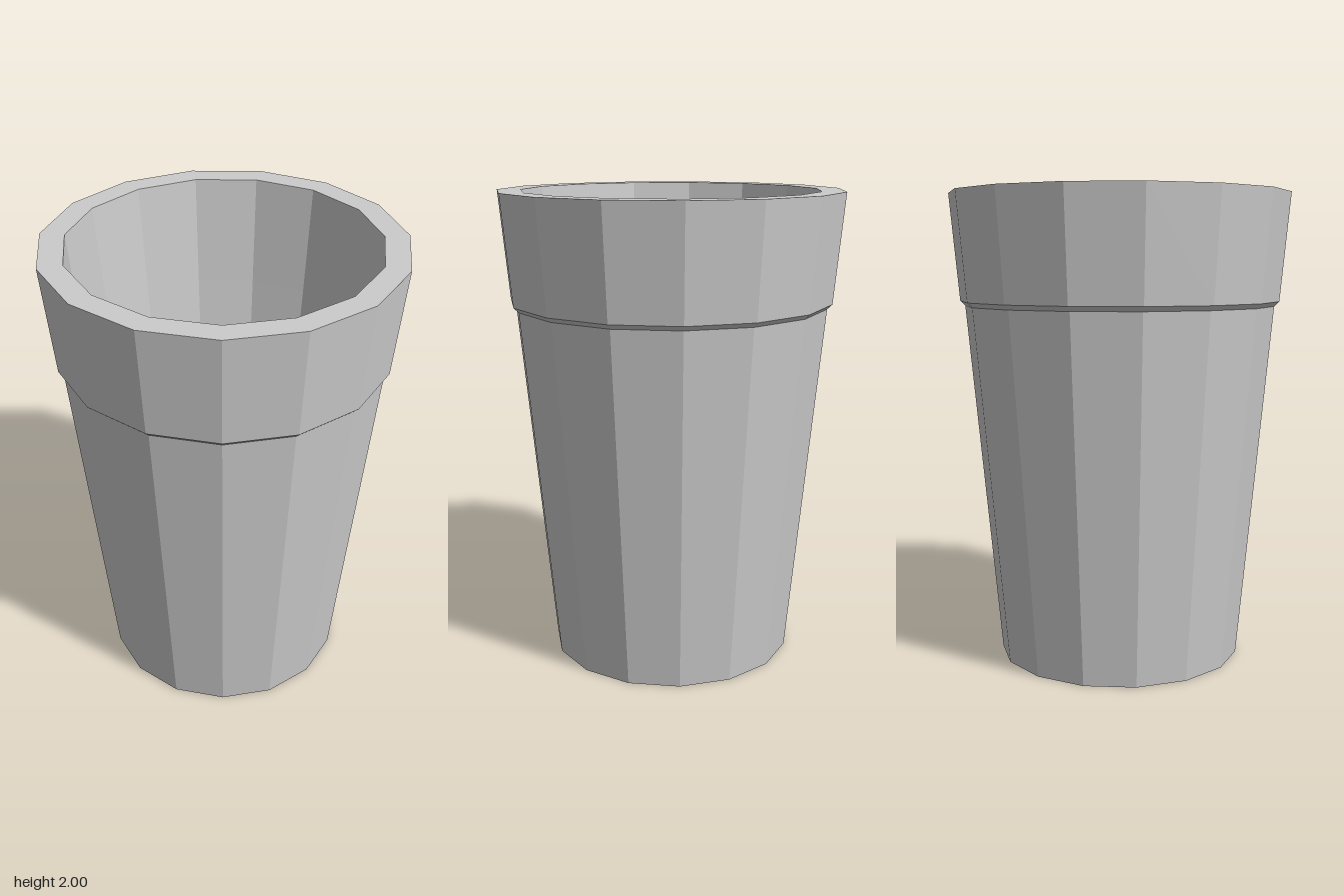
import * as THREE from 'three';

const SIDES = 15;

export function createModel() {
  const group = new THREE.Group();
  group.name = 'cup';

  // Closed wall profile (radius, height): up the outside, over the rim, down the inside
  const profile = [
    [0, 0],
    [0.523, 0], // foot
    [0.664, 1.525], // under the collar
    [0.685, 1.545], // collar edge
    [0.727, 2], // outer rim
    [0.627, 2], // inner rim
    [0.585, 1.54], // inside, level with the collar
    [0.45, 0.13], // inner floor
    [0, 0.13],
  ].map(([r, y]) => new THREE.Vector2(r, y));

  // Half-step turn puts a flat side at the front
  const geometry = new THREE.LatheGeometry(profile, SIDES, Math.PI / SIDES);
  const material = new THREE.MeshStandardMaterial({ color: 0xcccccc, flatShading: true });
  const body = new THREE.Mesh(geometry, material);
  body.name = 'cupBody';
  group.add(body);

  return group;
}
